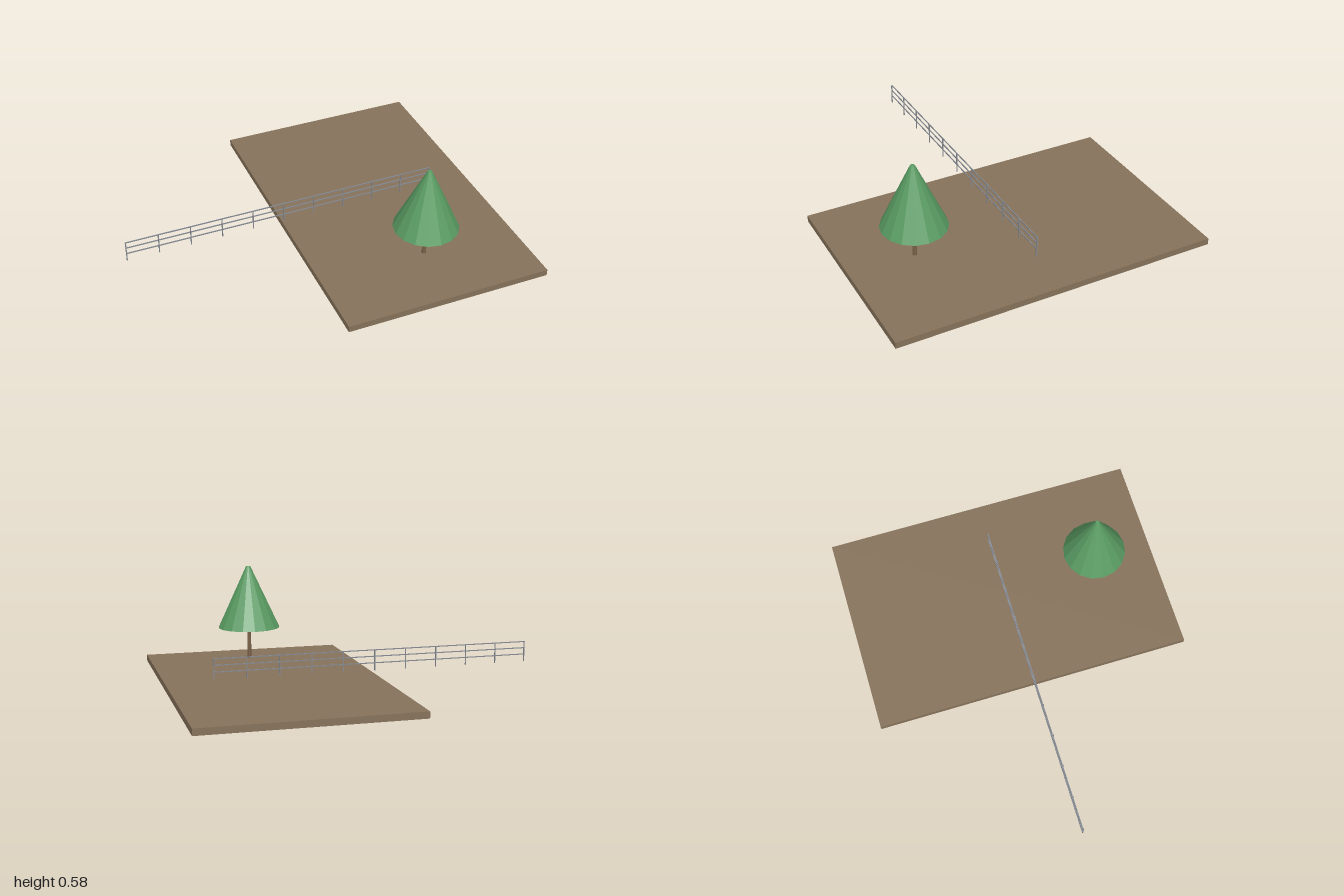
import * as THREE from 'three';

export function createModel() {
  const model = new THREE.Group();
  const material = (name, color, flatShading = false) => {
    const m = new THREE.MeshStandardMaterial({ color, flatShading });
    m.name = name;
    return m;
  };
  const earth = material('earth brown', 0x86725a);
  const bark = material('bark brown', 0x7a6148, true);
  const leaf = material('leaf green', 0x5a9c63, true);
  const metal = material('rail grey', 0x858991);

  const add = (parent, name, geometry, mat, x, y, z) => {
    const mesh = new THREE.Mesh(geometry, mat);
    mesh.name = name;
    mesh.position.set(x, y, z);
    parent.add(mesh);
    return mesh;
  };

  // Ground slab
  add(model, 'groundSlab', new THREE.BoxGeometry(1.125, 0.035, 1.75), earth, 0.4375, 0.0175, 0);

  // Tree: tapered trunk and a blunt conical crown
  const tree = new THREE.Group();
  tree.name = 'tree';
  tree.position.set(0.46, 0, 0.525);
  model.add(tree);
  add(tree, 'trunk', new THREE.CylinderGeometry(0.01, 0.012, 0.185, 8), bark, 0, 0.1475, 0);
  add(tree, 'crown', new THREE.CylinderGeometry(0.012, 0.173, 0.347, 16), leaf, 0, 0.4065, 0);

  // Fence: eleven posts carrying three rails
  const fence = new THREE.Group();
  fence.name = 'fence';
  model.add(fence);
  const left = -1, right = 0.755, posts = 11, thick = 0.005;
  const postGeometry = new THREE.BoxGeometry(thick, 0.115, thick);
  for (let i = 0; i < posts; i++) {
    const x = THREE.MathUtils.lerp(left + thick / 2, right - thick / 2, i / (posts - 1));
    add(fence, 'fencePost', postGeometry, metal, x, 0.1125, -0.0025);
  }
  const railGeometry = new THREE.BoxGeometry(right - left, thick, thick);
  for (const y of [0.097, 0.133, 0.168]) {
    add(fence, 'fenceRail', railGeometry, metal, (left + right) / 2, y, -0.0065);
  }

  return model;
}
